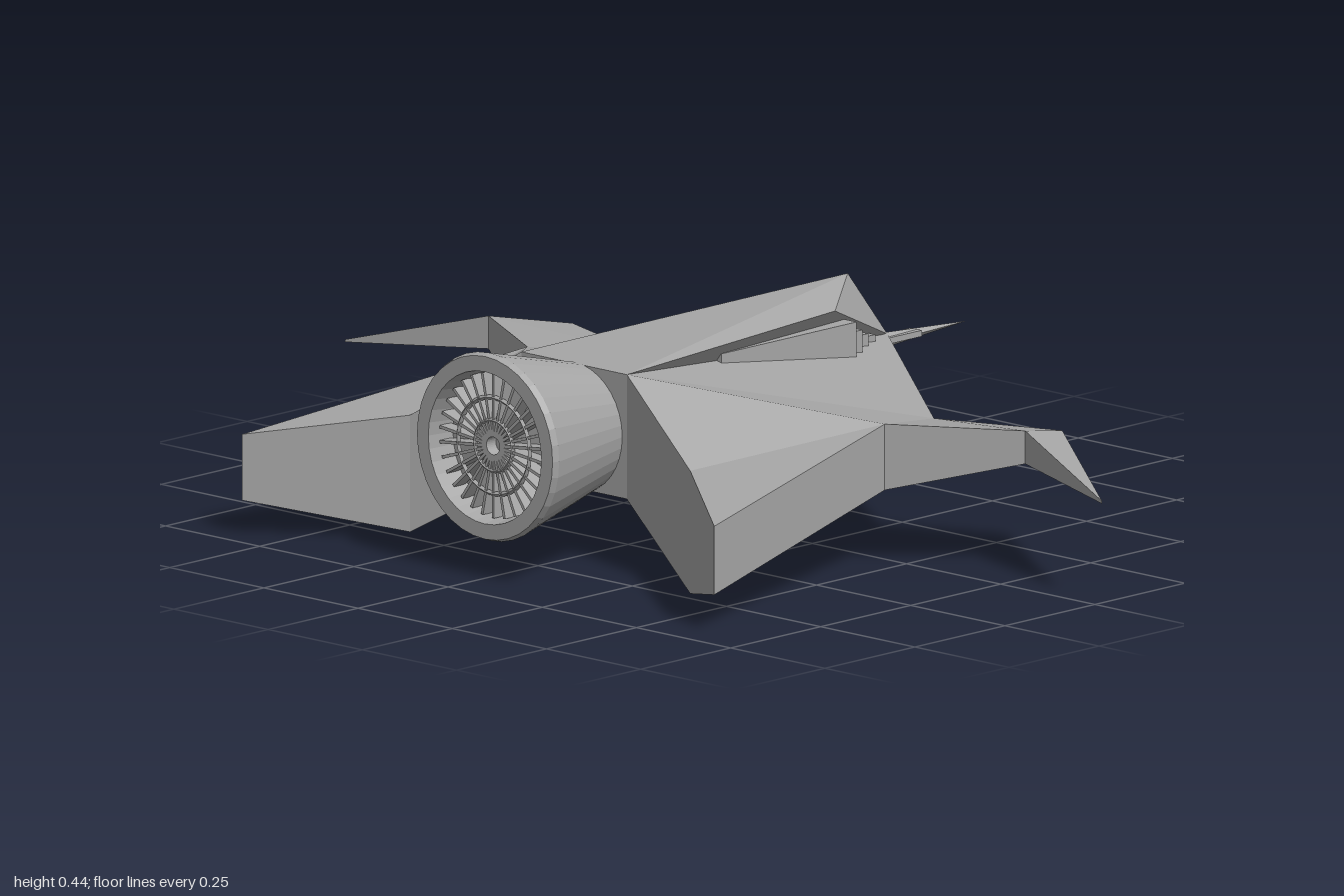
import * as THREE from 'three';

const hullGrey = new THREE.MeshStandardMaterial({ color: 0xa6a6a6, flatShading: true, side: THREE.DoubleSide });
hullGrey.name = 'hull grey';

// Corners of each half: [x, top y, bottom y, z]
const leftHalf = {
  A: [-0.4, 0.385, 0.14, 0.14], N: [0.47, 0.297, 0.283, 0], C: [0.16, 0.25, 0.235, 0.42],
  D: [0.265, 0.247, 0.235, 0.66], E: [0.02, 0.203, 0.198, 1], F: [0.11, 0.28, 0.215, 0.71],
  G: [-0.05, 0.285, 0.155, 0.49], H: [-0.67, 0.21, 0.075, 0.63], I: [-0.47, 0.245, 0.003, 0.375],
  K: [0.22, 0.4, 0.4, 0.1], P: [0.36, 0.435, 0.435, 0],
};
const rightHalf = {
  ...leftHalf,
  A: [-0.4, 0.385, 0.14, -0.14], C: [0.15, 0.26, 0.24, -0.36], D: [0.265, 0.25, 0.237, -0.64],
  E: [0.01, 0.203, 0.198, -1], F: [0.105, 0.28, 0.215, -0.71], G: [-0.08, 0.295, 0.155, -0.43],
  H: [-0.7, 0.2, 0.07, -0.595], I: [-0.5, 0.245, 0.015, -0.34], K: [0.22, 0.4, 0.4, -0.1],
};
const top = (p) => [p[0], p[1], p[3]];
const low = (p) => [p[0], p[2], p[3]];

function facets(name, tris) {
  const geo = new THREE.BufferGeometry();
  geo.setAttribute('position', new THREE.Float32BufferAttribute(tris.flat(2), 3));
  geo.computeVertexNormals();
  return mesh(name, geo);
}

function mesh(name, geo) {
  const m = new THREE.Mesh(geo, hullGrey);
  m.name = name;
  return m;
}

// Wing half: folded top, matching underside and a rim joining them
function wing(name, h, flip) {
  const tris = [];
  const add = (a, b, c) => tris.push(flip ? [a, c, b] : [a, b, c]);
  for (const key of ['ACN', 'AGC', 'GFC', 'CFD', 'FED', 'AIG', 'IHG']) {
    const [a, b, c] = [...key].map((k) => h[k]);
    add(top(a), top(b), top(c));
    add(low(a), low(c), low(b));
  }
  const rim = [...'NCDEFGHIA'].map((k) => h[k]);
  for (let i = 0; i < rim.length - 1; i++) {
    const p = rim[i], q = rim[i + 1];
    add(top(p), top(q), low(q));
    add(top(p), low(q), low(p));
  }
  return facets(name, tris);
}

export function createModel() {
  const model = new THREE.Group();
  model.name = 'spaceship';
  const L = leftHalf, R = rightHalf;
  model.add(wing('leftWing', L, false), wing('rightWing', R, true));

  // Roof with undercut sides, canopy peak, belly and rear wall
  const [A, K, N, P, a, k] = [L.A, L.K, L.N, L.P, R.A, R.K].map(top);
  const B = low(L.A), b = low(R.A), n = low(L.N);
  model.add(facets('fuselage', [
    [A, K, P], [A, P, a], [a, P, k],
    [A, N, K], [a, k, N],
    [B, b, n], [A, a, b], [A, b, B],
  ]));
  model.add(facets('canopy', [[K, N, P], [k, P, N]]));

  // Nested blocks stepping forward under the roof
  const steps = [[0.275, 0.087, 0.105], [0.312, 0.062, 0.085], [0.36, 0.042, 0.055], [0.4, 0.03, 0.035]];
  steps.forEach(([front, halfY, halfZ], i) => {
    const back = -0.1;
    const block = mesh('noseBlock' + (i + 1), new THREE.BoxGeometry(front - back, halfY * 2, halfZ * 2));
    block.position.set((front + back) / 2, 0.283, 0);
    model.add(block);
  });

  // Flattened needle nose with a short collar
  const needle = mesh('needle', new THREE.ConeGeometry(0.016, 0.24, 4));
  needle.rotation.z = -Math.PI / 2;
  needle.position.set(0.57, 0.286, 0);
  const collar = mesh('needleCollar', new THREE.BoxGeometry(0.1, 0.012, 0.03));
  collar.position.set(0.5, 0.287, 0);
  model.add(needle, collar);

  // Flared engine with a recessed outlet and radial vanes
  const engine = new THREE.Group();
  engine.name = 'engine';
  const profile = [[0, 0.36], [0.118, 0.36], [0.185, 0.635], [0.18, 0.648], [0.15, 0.648], [0.14, 0.59], [0, 0.6]];
  engine.add(mesh('nozzle', new THREE.LatheGeometry(profile.map(([r, y]) => new THREE.Vector2(r, y)), 36)));
  for (let i = 0; i < 30; i++) {
    const geo = new THREE.BoxGeometry(0.125, 0.03, 0.006);
    geo.translate(0.08, 0.61, 0).rotateY((i * Math.PI * 2) / 30);
    engine.add(mesh('vane', geo));
  }
  for (const r of [0.05, 0.095]) {
    const ring = mesh('vaneRing', new THREE.TorusGeometry(r, 0.005, 4, 30));
    ring.rotation.x = Math.PI / 2;
    ring.position.y = 0.622;
    engine.add(ring);
  }
  engine.rotation.z = Math.PI / 2;
  engine.position.y = 0.26;
  model.add(engine);
  return model;
}
